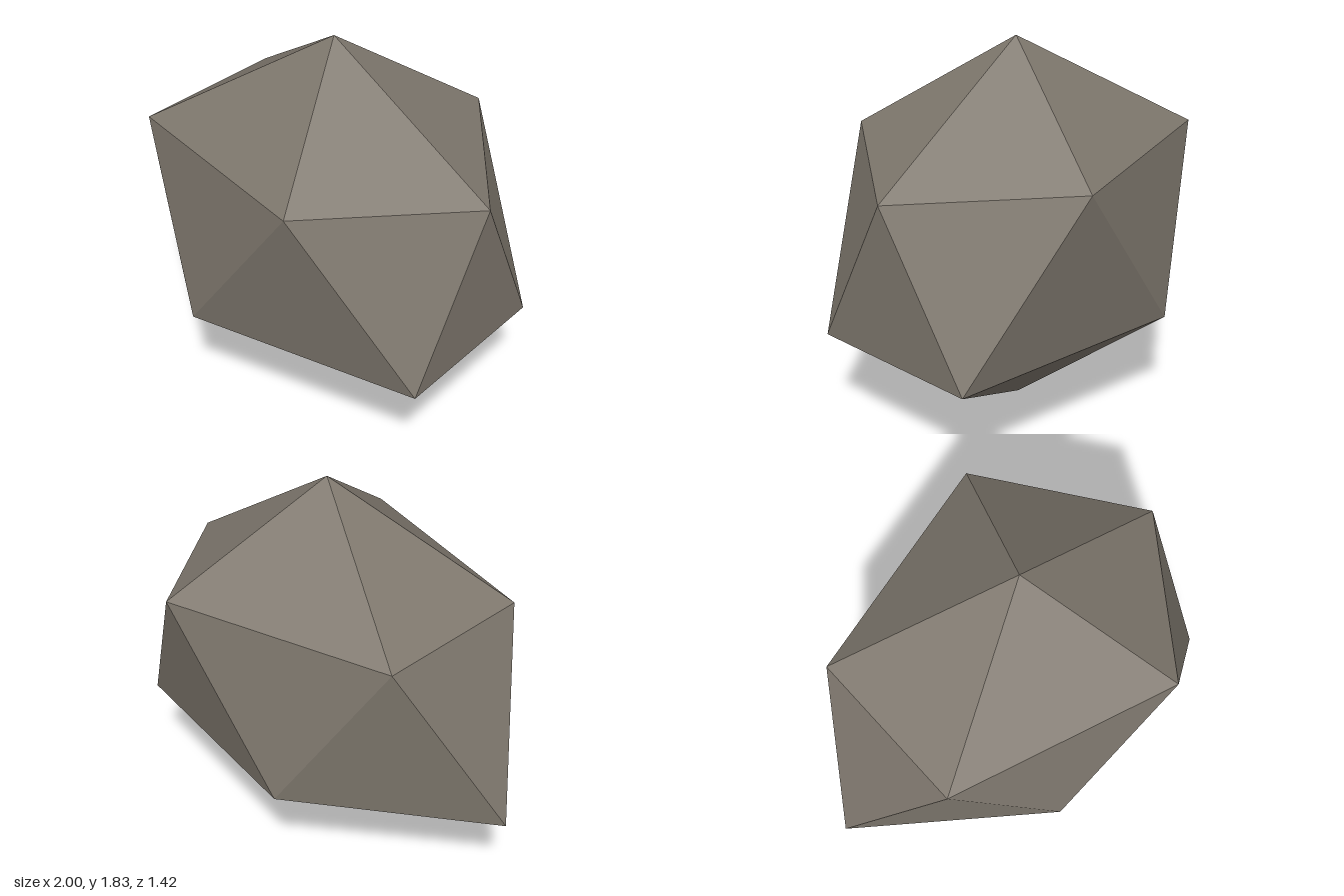
import * as THREE from 'three';

// Faceted boulder: a twenty-sided solid with two five-point rings between two tips
export function createModel() {
  const stone = new THREE.MeshStandardMaterial({ color: 0x7f786e, flatShading: true });
  stone.name = 'warm grey stone';

  const top = [0.135, 1.83, 0];
  const bottom = [0.135, 0, 0];
  const mirrorZ = ([x, y, z]) => [x, y, -z];

  // Each ring runs from the left side round the front, then mirrors to the back
  const upperFront = [[0.455, 1.345, 0.71], [-0.65, 1.32, 0.41]];
  const upper = [[1, 1.275, 0], ...upperFront, ...upperFront.map(mirrorZ).reverse()];
  const lowerFront = [[0.965, 0.5, 0.435], [-0.165, 0.525, 0.66]];
  const lower = [...lowerFront, [-1, 0.455, 0], ...lowerFront.map(mirrorZ).reverse()];

  // Cap, zigzag band and underside, one fifth at a time
  const corners = [];
  for (let i = 0; i < 5; i++) {
    const j = (i + 1) % 5;
    corners.push(
      top, upper[j], upper[i],
      upper[i], upper[j], lower[i],
      lower[i], upper[j], lower[j],
      bottom, lower[i], lower[j]
    );
  }
  const geometry = new THREE.BufferGeometry();
  geometry.setAttribute('position', new THREE.Float32BufferAttribute(corners.flat(), 3));
  geometry.computeVertexNormals();

  const boulder = new THREE.Mesh(geometry, stone);
  boulder.name = 'boulder';
  const group = new THREE.Group();
  group.name = 'rock';
  group.add(boulder);
  return group;
}
